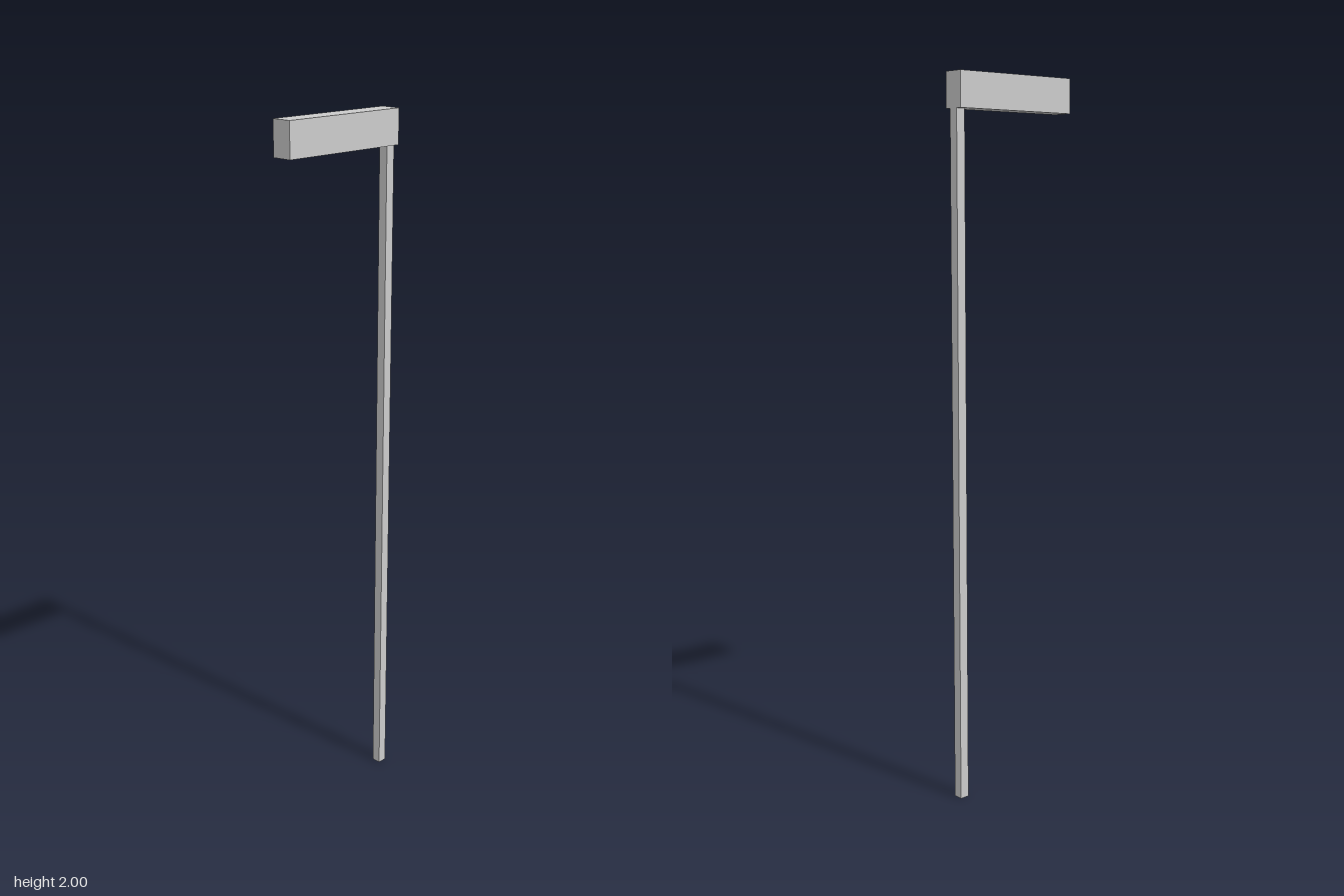
import * as THREE from 'three';

const HEIGHT = 2;
const HEAD = { width: 0.06, height: 0.095, depth: 0.392 };
const POLE_WIDTH = 0.027;

export function createModel() {
  const model = new THREE.Group();
  model.name = 'streetLamp';
  const material = new THREE.MeshStandardMaterial({ color: 0xcccccc, flatShading: true });

  const addBox = (name, size, position) => {
    const mesh = new THREE.Mesh(new THREE.BoxGeometry(...size), material);
    mesh.name = name;
    mesh.position.set(...position);
    model.add(mesh);
  };

  // Lamp head reaching forward from the pole
  addBox('lampHead', [HEAD.width, HEAD.height, HEAD.depth], [0, HEIGHT - HEAD.height / 2, 0]);

  // Slim square pole, flush with the back of the head
  const poleHeight = HEIGHT - HEAD.height;
  addBox('pole', [POLE_WIDTH, poleHeight, POLE_WIDTH],
    [0, poleHeight / 2, -(HEAD.depth - POLE_WIDTH) / 2]);

  return model;
}
